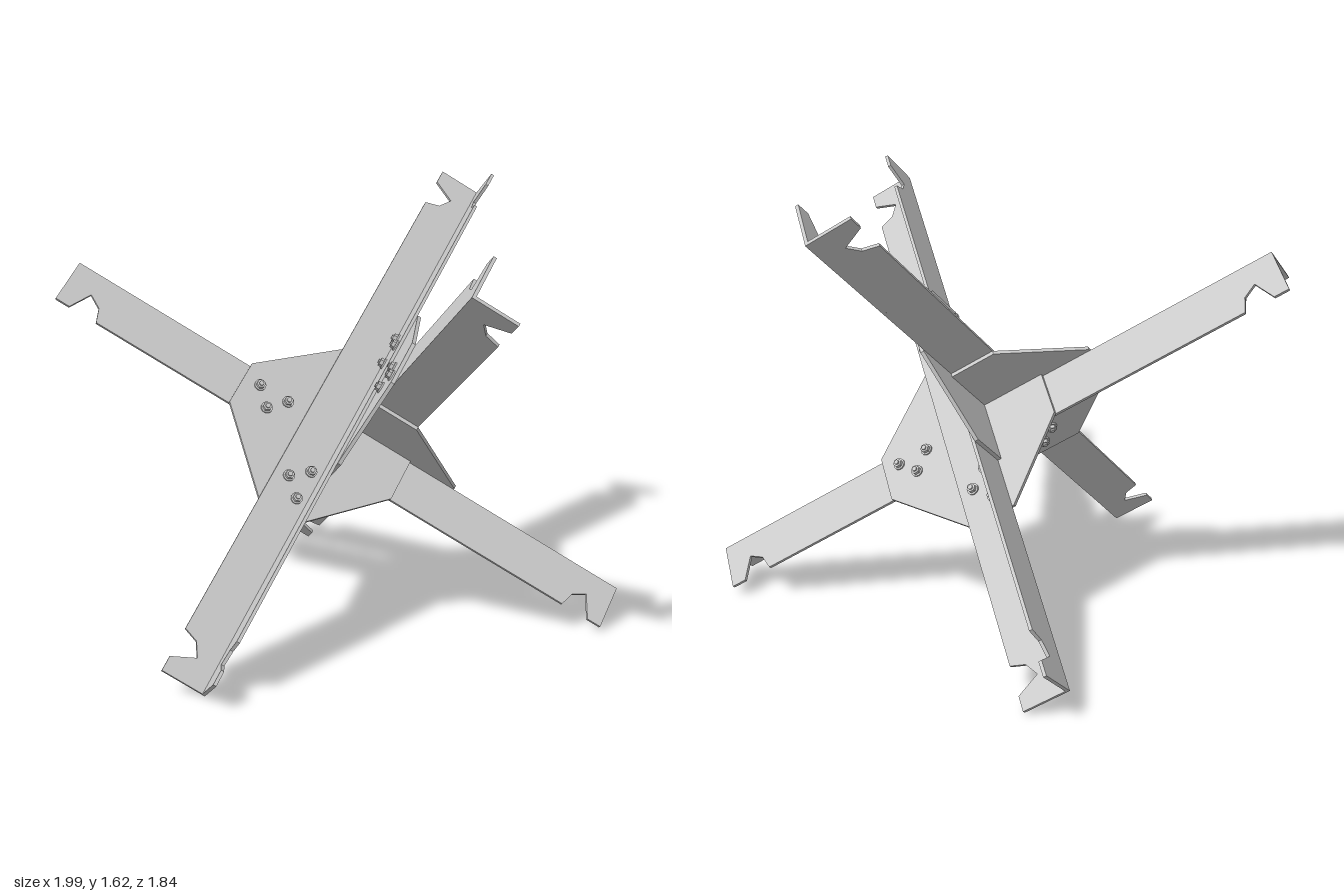
import * as THREE from 'three';

const HALF = 1.18;    // half length of a beam
const WIDTH = 0.18;   // flange width, measured from the spine
const STEEL = 0.012;  // flange thickness
const GAP = 0.007;    // half thickness of a gusset plate

const steel = new THREE.MeshStandardMaterial({ color: 0xcccccc, flatShading: true });

function addMesh(parent, name, geometry) {
  const mesh = new THREE.Mesh(geometry, steel);
  mesh.name = name;
  parent.add(mesh);
  return mesh;
}

function extrude(points, depth) {
  const shape = new THREE.Shape(points.map(([x, y]) => new THREE.Vector2(x, y)));
  return new THREE.ExtrudeGeometry(shape, { depth, bevelEnabled: false });
}

// Long flat strip with a torch-cut notch near each end of its free edge
function flangeGeometry() {
  const notch = [[0, WIDTH], [0.057, WIDTH], [0.1, 0.094], [0.15, 0.125], [0.17, WIDTH]];
  const right = notch.map(([d, y]) => [HALF - d, y]);
  const left = notch.map(([d, y]) => [d - HALF, y]).reverse();
  return extrude([[-HALF, GAP], [HALF, GAP], ...right, ...left], STEEL);
}

// Angle beam along x: one flange towards +y, the other towards -z
function createBeam() {
  const beam = new THREE.Group();
  beam.name = 'angleBeam';
  addMesh(beam, 'upperFlange', flangeGeometry().translate(0, 0, -GAP - STEEL));
  addMesh(beam, 'sideFlange', flangeGeometry().rotateX(-Math.PI / 2).translate(0, GAP, 0));
  return beam;
}

// Plate sandwiched between two crossing beams
function createGusset() {
  const outline = [
    [0, 0], [0, -0.25], [0.18, -0.25], [0.447, 0], [0.447, 0.18],
    [0.18, 0.447], [0, 0.447], [-0.25, 0.18], [-0.25, 0],
  ];
  return extrude(outline, 2 * GAP).translate(0, 0, -GAP);
}

// Through bolt with a washer and a hexagonal head on both faces
function createBolt(x, y, zLow, zHigh) {
  const bolt = new THREE.Group();
  bolt.name = 'bolt';
  for (const [z, side] of [[zLow, -1], [zHigh, 1]]) {
    const stack = [['washer', 0.022, 0.006, 16, 0], ['boltHead', 0.017, 0.013, 6, 0.006], ['boltTip', 0.009, 0.006, 10, 0.019]];
    for (const [name, radius, height, sides, offset] of stack) {
      const geometry = new THREE.CylinderGeometry(radius, radius, height, sides).rotateX(Math.PI / 2);
      addMesh(bolt, name, geometry).position.set(x, y, z + side * (offset + height / 2));
    }
  }
  return bolt;
}

// One beam, the gusset joining it to the next beam, and the bolts of that joint
function createUnit() {
  const unit = new THREE.Group();
  unit.name = 'beamAndJoint';
  unit.add(createBeam());
  addMesh(unit, 'gussetPlate', createGusset());
  for (const [along, across] of [[0.26, 0.06], [0.318, 0.125], [0.38, 0.06]]) {
    unit.add(createBolt(along, across, -GAP - STEEL, GAP));
    unit.add(createBolt(across, along, -GAP, GAP + STEEL));
  }
  return unit;
}

export function createModel() {
  const model = new THREE.Group();
  model.name = 'antiVehicleObstacle';

  // Three mutually perpendicular beam directions
  const a = new THREE.Vector3(-0.212, 0.644, -0.733).normalize();
  const c = a.clone().cross(new THREE.Vector3(0.787, 0.557, 0.264)).normalize();
  const b = c.clone().cross(a);
  const neg = (v) => v.clone().negate();

  // The same unit repeated with threefold symmetry
  for (const axes of [[a, b, c], [neg(b), c, neg(a)], [neg(c), neg(a), b]]) {
    const unit = createUnit();
    unit.quaternion.setFromRotationMatrix(new THREE.Matrix4().makeBasis(...axes));
    unit.position.set(-0.036, 0.753, -0.061);
    model.add(unit);
  }
  return model;
}
